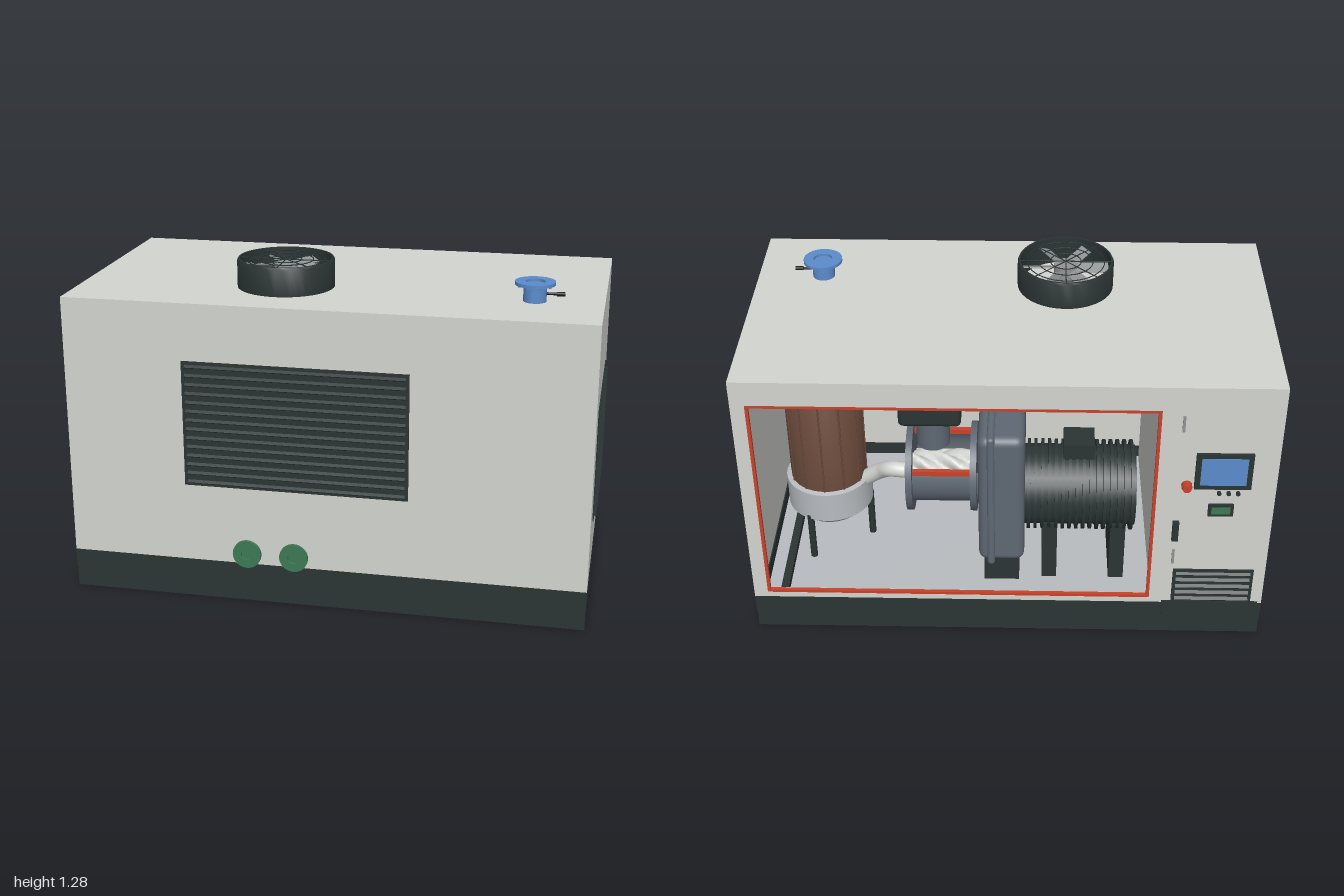
import * as THREE from 'three';
import { RoundedBoxGeometry } from 'three/addons/geometries/RoundedBoxGeometry.js';
import { toCreasedNormals } from 'three/addons/utils/BufferGeometryUtils.js';

const mat = (name, color) => new THREE.MeshStandardMaterial({ name, color, side: THREE.DoubleSide });
const M = {
  panel: mat('panel grey', 0xd3d5d0), dark: mat('dark green grey', 0x2b3534), black: mat('black', 0x15191a),
  red: mat('signal red', 0xc8432a), blue: mat('blue', 0x5b8ccc), green: mat('green', 0x3d7a55),
  slate: mat('slate', 0x5f6873), brown: mat('brown', 0x6b4a3b), light: mat('light metal', 0xb8bcc0),
  steel: mat('steel', 0x909494),
};

function add(parent, name, geo, material, x = 0, y = 0, z = 0) {
  const m = new THREE.Mesh(geo, material);
  m.name = name;
  m.position.set(x, y, z);
  parent.add(m);
  return m;
}
// box given by its limits
function block(parent, name, material, x0, x1, y0, y1, z0, z1) {
  return add(parent, name, new THREE.BoxGeometry(x1 - x0, y1 - y0, z1 - z0), material,
    (x0 + x1) / 2, (y0 + y1) / 2, (z0 + z1) / 2);
}
function group(parent, name, x = 0, y = 0, z = 0) {
  const g = new THREE.Group();
  g.name = name;
  g.position.set(x, y, z);
  parent.add(g);
  return g;
}
const cyl = (r, h, n = 32) => new THREE.CylinderGeometry(r, r, h, n);
const cylX = (r, h, n = 32) => cyl(r, h, n).rotateZ(Math.PI / 2);
const cylZ = (r, h, n = 32) => cyl(r, h, n).rotateX(Math.PI / 2);
const lathe = (pts) => toCreasedNormals(
  new THREE.LatheGeometry(pts.map(p => new THREE.Vector2(...p)), 40), 0.6);

function rectPath(P, x0, x1, y0, y1) {
  const s = new P();
  s.moveTo(x0, y0); s.lineTo(x1, y0); s.lineTo(x1, y1); s.lineTo(x0, y1); s.closePath();
  return s;
}
function frameGeo(a, b, depth) {
  const s = rectPath(THREE.Shape, ...a);
  s.holes.push(rectPath(THREE.Path, ...b));
  return new THREE.ExtrudeGeometry(s, { depth, bevelEnabled: false });
}

// louvre facing +z, centred on its own origin
function louvre(parent, name, w, h, n) {
  const g = group(parent, name);
  const b = 0.012;
  add(g, 'louvreBack', new THREE.BoxGeometry(w, h, 0.008), M.dark);
  add(g, 'louvreFrame', frameGeo([-w / 2, w / 2, -h / 2, h / 2], [-w / 2 + b, w / 2 - b, -h / 2 + b, h / 2 - b], 0.007), M.dark);
  const slat = new THREE.BoxGeometry(w - 2 * b, 0.004, 0.018);
  for (let i = 0; i < n; i++) {
    const s = add(g, 'slat', slat, M.dark, 0, -h / 2 + h * (i + 0.5) / n, 0.007);
    s.rotation.x = 0.6;
  }
  return g;
}

// flanged pipe stub pointing along +y
function flangedPipe(parent, name, material, pipeR, flangeR, len, bolts) {
  const g = group(parent, name);
  const t = 0.012;
  add(g, 'stub', lathe([[pipeR, 0], [pipeR, len - t], [flangeR, len - t], [flangeR, len],
    [pipeR * 0.85, len], [pipeR * 0.85, len - 0.01], [0, len - 0.01]]), material);
  for (let i = 0; i < bolts; i++) {
    const a = (i + 0.5) / bolts * Math.PI * 2, r = (pipeR + flangeR) / 2 + 0.002;
    add(g, 'bolt', cyl(0.005, 0.012, 6), material, Math.sin(a) * r, len - t - 0.002, Math.cos(a) * r);
  }
  return g;
}

// twisted lobed screw along x
function screw(lobes, r, len, twist) {
  const s = new THREE.Shape();
  for (let i = 0; i < 48; i++) {
    const a = i / 48 * Math.PI * 2, q = r * (0.8 + 0.2 * Math.cos(a * lobes));
    i ? s.lineTo(q * Math.cos(a), q * Math.sin(a)) : s.moveTo(q, 0);
  }
  const g = new THREE.ExtrudeGeometry(s, { depth: len, steps: 24, bevelEnabled: false });
  const p = g.attributes.position;
  for (let i = 0; i < p.count; i++) {
    const x = p.getX(i), y = p.getY(i), a = p.getZ(i) / len * twist;
    p.setXY(i, x * Math.cos(a) - y * Math.sin(a), x * Math.sin(a) + y * Math.cos(a));
  }
  g.translate(0, 0, -len / 2).rotateY(Math.PI / 2);
  return toCreasedNormals(g, 0.7);
}

function buildHousing(root) {
  const g = group(root, 'housing');
  block(g, 'frontWall', M.panel, -1, 0.988, 0.155, 1.175, 0.49, 0.517);
  block(g, 'rightEndWall', M.panel, -1, -0.975, 0.155, 1.175, -0.5, 0.49);
  block(g, 'leftEndWall', M.panel, 0.963, 0.988, 0.155, 1.175, -0.5, 0.49);
  block(g, 'roof', M.panel, -0.975, 0.963, 1.1, 1.175, -0.5, 0.49);
  block(g, 'partition', M.panel, -0.6, -0.575, 0.095, 1.1, -0.5, 0.49);
  add(g, 'backWall', frameGeo([-1, 0.988, 0.155, 1.175], [-0.56, 0.935, 0.178, 1.075], 0.028), M.panel, 0, 0, -0.528);
  add(g, 'doorSeal', frameGeo([-0.56, 0.935, 0.178, 1.075], [-0.548, 0.923, 0.19, 1.063], 0.014), M.red, 0, 0, -0.5275);

  // base frame with a plate floor, open underneath between the cross beams
  const b = group(root, 'baseFrame');
  block(b, 'floor', M.light, -0.97, 0.958, 0.08, 0.095, -0.5, 0.49);
  for (const [z0, z1] of [[-0.528, -0.5], [0.49, 0.517]]) block(b, 'longSkirt', M.dark, -1, 0.988, 0.08, 0.155, z0, z1);
  for (const [x0, x1] of [[-1, -0.97], [0.958, 0.988]]) block(b, 'endSkirt', M.dark, x0, x1, 0.08, 0.155, -0.5, 0.49);
  for (const [z0, z1] of [[-0.526, -0.466], [0.455, 0.515]]) block(b, 'longBeam', M.dark, -0.998, 0.986, 0, 0.08, z0, z1);
  for (const [x0, x1] of [[-0.998, -0.938], [0.926, 0.986]]) block(b, 'endBeam', M.dark, x0, x1, 0, 0.08, -0.466, 0.455);
  for (const x of [-0.5, -0.01, 0.48]) block(b, 'crossBeam', M.dark, x - 0.035, x + 0.035, 0.005, 0.08, -0.466, 0.455);
  for (const x of [-0.58, 0.4]) block(b, 'forkPocket', M.black, x - 0.045, x + 0.045, 0.03, 0.08, -0.466, 0.455);
  block(b, 'floorRail', M.dark, 0.87, 0.9, 0.095, 0.125, -0.48, 0.45);

  louvre(g, 'frontLouvre', 0.857, 0.49, 14).position.set(-0.111, 0.71, 0.517);
  const side = louvre(g, 'leftLouvre', 0.65, 0.44, 10);
  side.position.set(0.9855, 0.577, -0.005);
  side.rotation.y = Math.PI / 2;
  const back = louvre(g, 'cabinetLouvre', 0.31, 0.16, 5);
  back.position.set(-0.8, 0.25, -0.528);
  back.rotation.y = Math.PI;
  block(g, 'cabinetKickPlate', M.dark, -0.985, -0.61, 0.085, 0.165, -0.531, -0.525);
}

function buildControls(root) {
  const g = group(root, 'controls');
  block(g, 'screenFrame', M.dark, -0.905, -0.695, 0.73, 0.89, -0.54, -0.528);
  block(g, 'screen', M.blue, -0.885, -0.715, 0.75, 0.873, -0.542, -0.538);
  add(g, 'stopBase', cylZ(0.02, 0.02, 24), M.red, -0.668, 0.742, -0.536);
  add(g, 'stopButton', cylZ(0.016, 0.012, 24), M.red, -0.668, 0.742, -0.551);
  for (const x of [-0.79, -0.825, -0.86]) add(g, 'pushButton', cylZ(0.008, 0.014, 16), M.dark, x, 0.708, -0.533);
  block(g, 'meterFrame', M.dark, -0.85, -0.755, 0.6, 0.655, -0.537, -0.528);
  block(g, 'meterDisplay', M.green, -0.838, -0.767, 0.611, 0.644, -0.539, -0.535);
  block(g, 'doorHandle', M.dark, -0.652, -0.628, 0.48, 0.57, -0.544, -0.528);
  for (const y of [0.36, 0.985]) block(g, 'hinge', M.steel, -0.645, -0.635, y, y + 0.07, -0.534, -0.528);
}

function buildConnections(root) {
  const outlet = flangedPipe(root, 'airOutlet', M.blue, 0.043, 0.075, 0.075, 8);
  outlet.position.set(0.732, 1.175, 0.227);
  add(outlet, 'valveStem', cylX(0.005, 0.07, 10), M.black, 0.075, 0.03, 0);
  add(outlet, 'valveKnob', cylX(0.008, 0.03, 10), M.black, 0.095, 0.03, 0);
  for (const x of [-0.295, -0.113]) {
    const w = flangedPipe(root, 'waterConnection', M.green, 0.026, 0.055, 0.04, 8);
    w.position.set(x, 0.21, 0.517);
    w.rotation.x = Math.PI / 2;
  }
}

function buildFan(root) {
  const g = group(root, 'roofFan', -0.218, 1.175, 0.178);
  add(g, 'cowl', lathe([[0.186, 0], [0.186, 0.102], [0.182, 0.11], [0.175, 0.11], [0.175, 0]]), M.dark);
  add(g, 'hub', cyl(0.045, 0.07), M.steel, 0, 0.055, 0);
  for (let i = 0; i < 6; i++) {
    const arm = group(g, 'bladeArm', 0, 0.075, 0);
    arm.rotation.y = i * Math.PI / 3;
    add(arm, 'blade', new THREE.BoxGeometry(0.12, 0.005, 0.045), M.steel, 0.105, 0, 0).rotation.x = 0.4;
  }
  for (const r of [0.06, 0.105, 0.15])
    add(g, 'guardRing', new THREE.TorusGeometry(r, 0.002, 6, 40).rotateX(Math.PI / 2), M.dark, 0, 0.102, 0);
  for (let i = 0; i < 4; i++)
    add(g, 'guardSpoke', cylX(0.002, 0.355, 6), M.dark, 0, 0.102, 0).rotation.y = i * Math.PI / 4;
}

function buildTank(root) {
  const g = group(root, 'separatorTank', 0.73, 0, -0.065);
  add(g, 'tankShell', lathe([[0, 0.225], [0.07, 0.235], [0.13, 0.26], [0.172, 0.3], [0.172, 0.43], [0.15, 0.435]]), M.light);
  add(g, 'tankJacket', lathe([[0.152, 0.41], [0.152, 0.88], [0.12, 0.93], [0, 0.95]]), M.brown);
  for (let i = 0; i < 12; i++) {
    const a = i * Math.PI / 6;
    add(g, 'jacketSeam', cyl(0.004, 0.46, 6), M.brown, 0.152 * Math.sin(a), 0.65, 0.152 * Math.cos(a));
  }
  // three legs, one at the rear
  for (let i = 0; i < 3; i++) {
    const a = 0.61 + i * Math.PI * 2 / 3;
    add(g, 'tankLeg', cyl(0.014, 0.22, 12), M.dark, 0.16 * Math.sin(a), 0.205, 0.16 * Math.cos(a));
  }
}

function buildDrive(root) {
  const g = group(root, 'compressorDrive', 0, 0.55, -0.18);
  // cut-open compressor barrel with its two screws
  const shell = new THREE.CylinderGeometry(0.14, 0.14, 0.28, 40, 1, true, 2.7, 4.71).rotateZ(Math.PI / 2);
  add(g, 'barrel', shell, M.slate, 0.24, 0, 0);
  for (const x of [0.38, 0.13]) add(g, 'barrelFlange', cylX(0.178, 0.025, 40), M.slate, x, 0, 0);
  for (const a of [2.7, 1.13])
    add(g, 'cutEdge', new THREE.BoxGeometry(0.235, 0.02, 0.02), M.red, 0.255, 0.14 * Math.sin(a), 0.14 * Math.cos(a));
  add(g, 'upperScrew', screw(4, 0.07, 0.24, 3), M.panel, 0.255, 0.04, -0.055);
  add(g, 'lowerScrew', screw(6, 0.065, 0.24, -2), M.panel, 0.255, -0.04, 0.055);
  add(g, 'intakeNeck', cyl(0.065, 0.16), M.slate, 0.29, 0.2, 0);
  add(g, 'intakeFilter', new RoundedBoxGeometry(0.24, 0.2, 0.23, 3, 0.02), M.dark, 0.295, 0.365, 0);
  const path = new THREE.CatmullRomCurve3([[0.38, -0.03, 0], [0.46, -0.03, 0.01], [0.51, -0.07, 0.05], [0.6, -0.15, 0.09]]
    .map(p => new THREE.Vector3(...p)));
  add(g, 'dischargePipe', new THREE.TubeGeometry(path, 20, 0.032, 16), M.panel);

  // gearbox and finned motor
  add(g, 'gearbox', new RoundedBoxGeometry(0.18, 0.6, 0.42, 4, 0.035), M.slate, 0.02, -0.02, 0);
  add(g, 'gearboxRim', new RoundedBoxGeometry(0.03, 0.62, 0.44, 3, 0.014), M.slate, 0.06, -0.02, 0);
  block(g, 'gearboxFoot', M.dark, -0.05, 0.09, -0.455, -0.3, -0.16, 0.16);
  add(g, 'motorCore', cylX(0.16, 0.46), M.dark, -0.275, -0.085, 0);
  for (let i = 0; i < 16; i++) add(g, 'motorFin', cylX(0.18, 0.012), M.dark, -0.085 - i * 0.027, -0.085, 0);
  block(g, 'terminalBox', M.dark, -0.34, -0.22, 0.08, 0.15, -0.06, 0.06);
  for (const x of [-0.17, -0.44]) block(g, 'motorFoot', M.dark, x - 0.03, x + 0.03, -0.455, -0.18, -0.14, 0.14);
}

export function createModel() {
  const root = new THREE.Group();
  root.name = 'compressorUnit';
  buildHousing(root);
  buildControls(root);
  buildConnections(root);
  buildFan(root);
  buildTank(root);
  buildDrive(root);
  return root;
}
